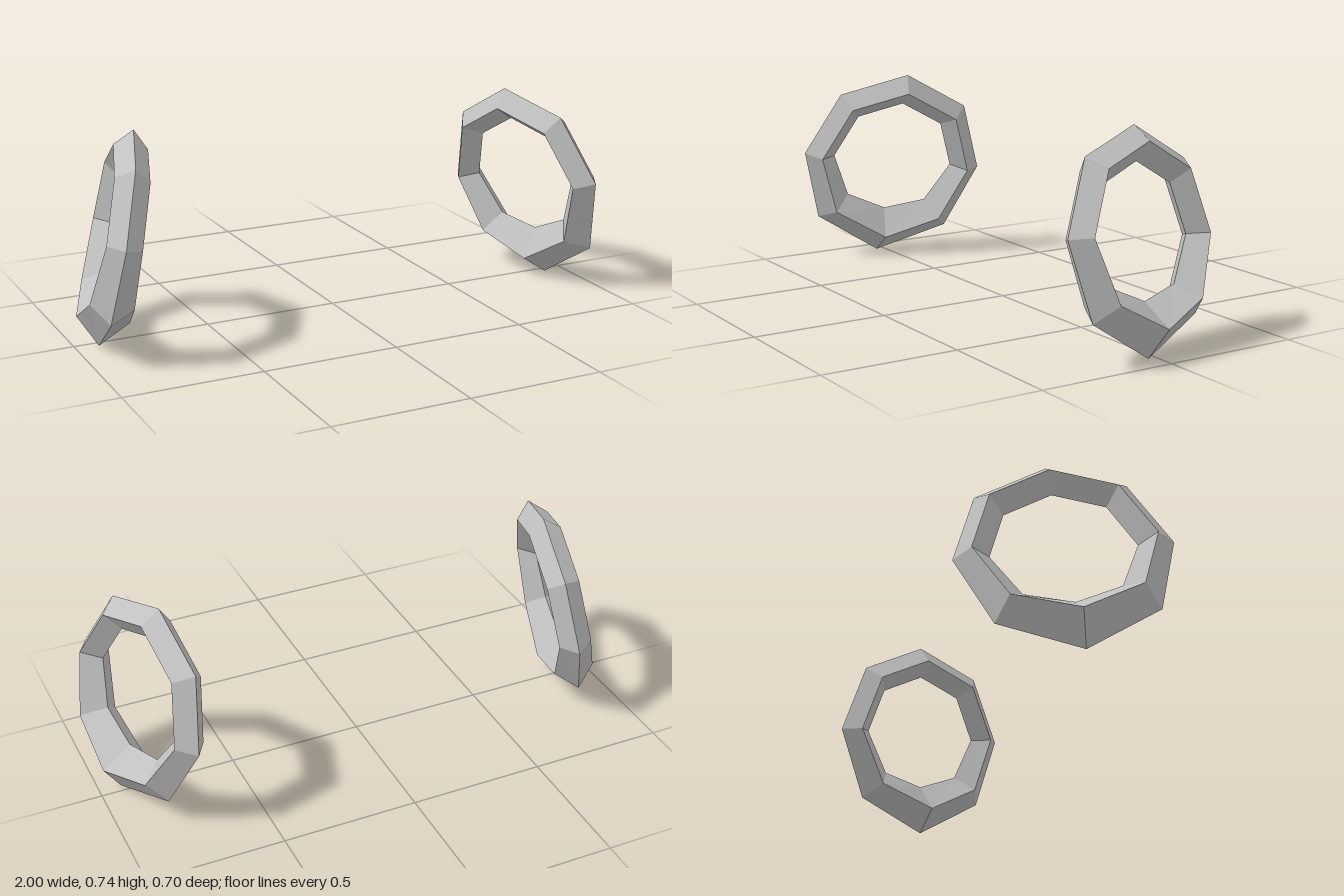
import * as THREE from 'three';

const RING = 0.3045, TUBE = 0.0603, SIDES = 8;

// Octagonal hoop with a diamond section that swells towards its lowest corner
function hoopGeometry() {
  const geo = new THREE.TorusGeometry(RING, TUBE, 4, SIDES);
  const pos = geo.attributes.position;
  const p = new THREE.Vector3(), core = new THREE.Vector3();
  for (let i = 0; i < pos.count; i++) {
    p.fromBufferAttribute(pos, i);
    const a = Math.atan2(p.y, p.x);
    const step = Math.round((Math.PI - Math.abs(a)) / (Math.PI / 4)); // 0 = lowest corner
    const swell = [1.55, 1.25][step] ?? 1;
    core.set(Math.cos(a) * RING, Math.sin(a) * RING, 0);
    p.sub(core).multiplyScalar(swell).add(core);
    pos.setXYZ(i, p.x, p.y, p.z);
  }
  return geo;
}

export function createModel() {
  const group = new THREE.Group();
  group.name = 'hoopEarrings';
  const silver = new THREE.MeshStandardMaterial({ color: 0xc0c0c0 });
  silver.name = 'silver';

  for (const side of [1, -1]) {
    // Directions from the hoop centre to its top corner and its front corner
    const up = new THREE.Vector3(-0.0695 * side, 0.2955, -0.0235).normalize();
    const front = new THREE.Vector3(0.073 * side, 0.04, 0.2935).normalize();
    const axis = new THREE.Vector3().crossVectors(up, front).normalize();
    const placed = new THREE.Matrix4().makeBasis(up, front, axis);
    placed.setPosition(0.828 * side, 0.388, 0);

    // Separate faces give flat facets
    const geo = hoopGeometry().applyMatrix4(placed).toNonIndexed();
    geo.computeVertexNormals();
    const hoop = new THREE.Mesh(geo, silver);
    hoop.name = side > 0 ? 'leftHoop' : 'rightHoop';
    group.add(hoop);
  }
  return group;
}
